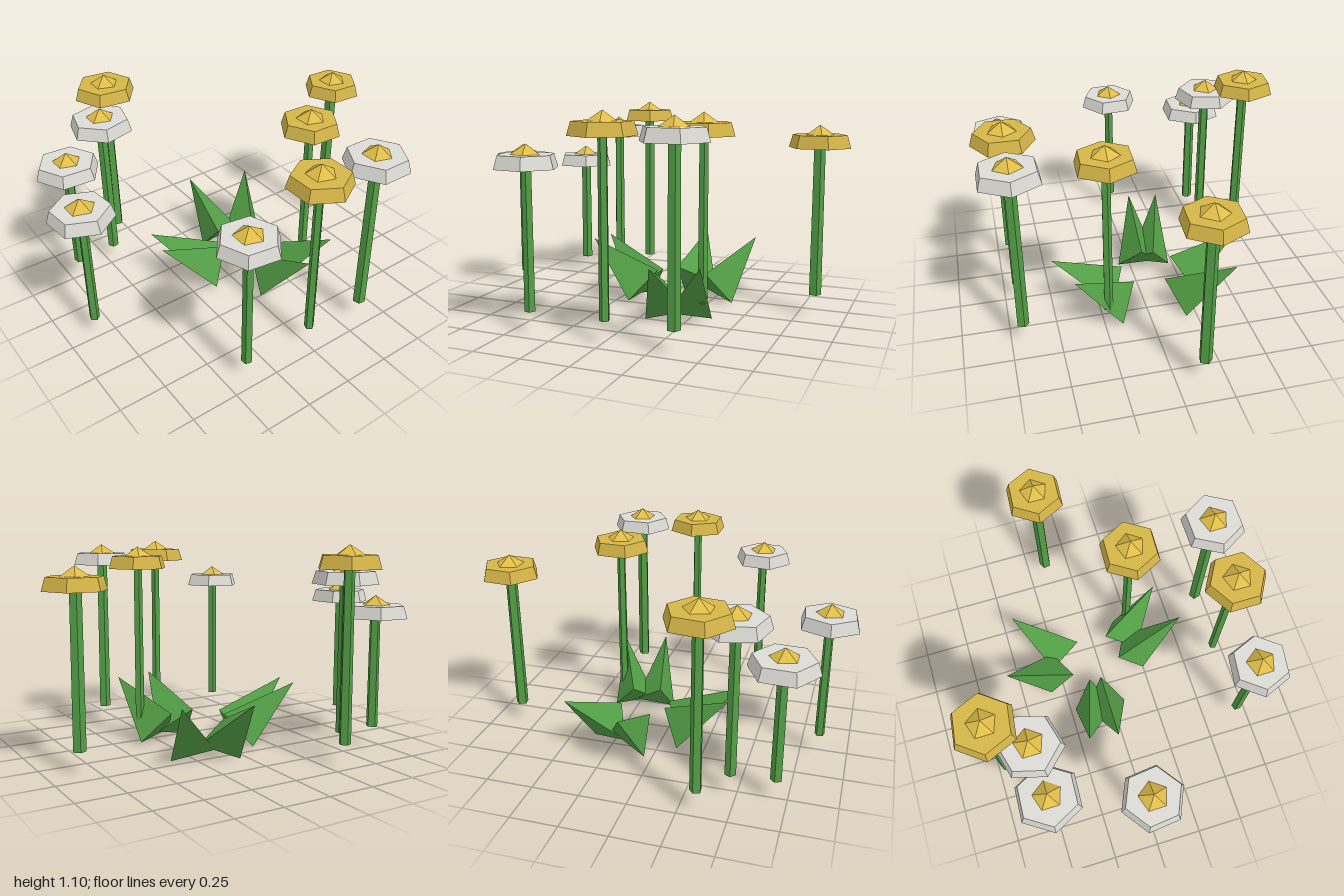
import * as THREE from 'three';

const flat = (name, color) => {
  const m = new THREE.MeshStandardMaterial({ color, flatShading: true });
  m.name = name;
  return m;
};
const GREEN = flat('leaf green', 0x539f46);
const WHITE = flat('petal white', 0xdcdbd5);
const YELLOW = flat('petal yellow', 0xd6b648);
const GOLD = flat('centre gold', 0xe0bd48);

const STEM_BASE = 0.13;
const HEAD_HEIGHT = 0.066;
const CENTRE_HEIGHT = 0.05;

// x, z, underside of the petals, petal radius, stem radius, turn in degrees, petals
const FLOWERS = [
  [-0.69, -0.505, 0.722, 0.174, 0.030, 3, WHITE],
  [-0.465, -0.52, 0.907, 0.170, 0.029, -15, WHITE],
  [-0.335, -0.70, 0.996, 0.168, 0.030, 7, YELLOW],
  [0.838, -0.143, 0.902, 0.160, 0.033, 4, YELLOW],
  [-0.848, -0.025, 0.763, 0.165, 0.026, 24, WHITE],
  [0.343, 0.232, 0.974, 0.162, 0.025, 3, YELLOW],
  [-0.388, 0.682, 0.83, 0.162, 0.027, 8, WHITE],
  [0.014, 0.68, 0.994, 0.163, 0.025, 30, YELLOW],
  [0.362, 0.685, 0.977, 0.168, 0.032, 0, WHITE],
];

// Leaf tip, middle of its base, and the upper corner of its base
const LEAVES = [
  [[-0.38, 0.35, -0.21], [-0.09, 0.095, -0.107], [0, 0.2, -0.1]],
  [[-0.405, 0.35, -0.05], [-0.093, 0.1, -0.04], [-0.01, 0.2, -0.035]],
  [[0.105, 0.35, -0.555], [0.115, 0.105, -0.26], [0.045, 0.21, -0.176]],
  [[0.438, 0.35, -0.438], [0.261, 0.093, -0.192], [0.25, 0.2, -0.107]],
  [[0.16, 0.35, 0.497], [0.125, 0.09, 0.18], [0.08, 0.2, 0.11]],
  [[0.39, 0.353, 0.41], [0.253, 0.093, 0.157], [0.23, 0.195, 0.065]],
];

function part(parent, name, geometry, material, y = 0, turn = 0) {
  const mesh = new THREE.Mesh(geometry, material);
  mesh.name = name;
  mesh.position.y = y;
  mesh.rotation.y = turn;
  parent.add(mesh);
  return mesh;
}

// Stem, six-sided petal disc and a low five-sided centre
function makeFlower([x, z, y, radius, stemRadius, degrees, petals]) {
  const flower = new THREE.Group();
  flower.name = 'flower';
  flower.position.set(x, 0, z);
  const turn = THREE.MathUtils.degToRad(30 - degrees);
  const stemLength = y - STEM_BASE;
  part(flower, 'stem', new THREE.CylinderGeometry(stemRadius * 0.95, stemRadius * 1.03, stemLength, 5),
    GREEN, STEM_BASE + stemLength / 2, turn);
  part(flower, 'petals', new THREE.CylinderGeometry(radius * 0.88, radius, HEAD_HEIGHT, 6),
    petals, y + HEAD_HEIGHT / 2, turn);
  part(flower, 'centre', new THREE.ConeGeometry(0.075, CENTRE_HEIGHT, 5),
    GOLD, y + HEAD_HEIGHT + CENTRE_HEIGHT / 2, Math.PI / 2);
  return flower;
}

// Three-sided spike lying from its base out to its tip
function makeLeaf(points) {
  const [tip, base, corner] = points.map((p) => new THREE.Vector3(...p));
  const up = tip.clone().sub(base);
  const length = up.length();
  up.normalize();
  const out = corner.sub(base);
  out.addScaledVector(up, -out.dot(up)).normalize();
  const side = new THREE.Vector3().crossVectors(up, out);
  const leaf = new THREE.Mesh(new THREE.ConeGeometry(0.134, length, 3), GREEN);
  leaf.name = 'leaf';
  leaf.quaternion.setFromRotationMatrix(new THREE.Matrix4().makeBasis(side, up, out));
  leaf.position.copy(tip).add(base).multiplyScalar(0.5);
  return leaf;
}

export function createModel() {
  const model = new THREE.Group();
  model.name = 'flowerPatch';
  for (const f of FLOWERS) model.add(makeFlower(f));
  const leaves = new THREE.Group();
  leaves.name = 'leaves';
  for (const l of LEAVES) leaves.add(makeLeaf(l));
  model.add(leaves);
  return model;
}
